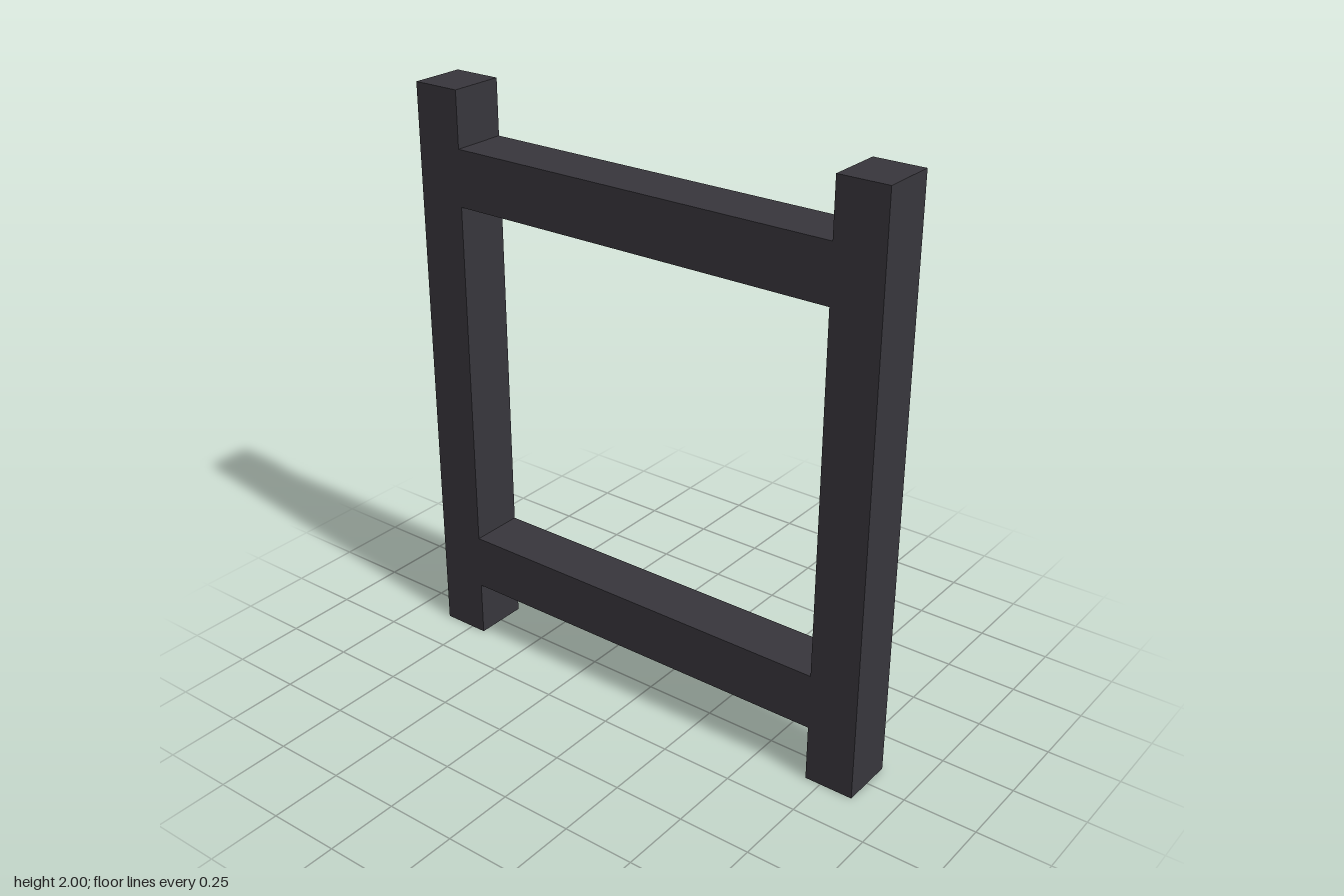
import * as THREE from 'three';

const POST_WIDTH = 0.17;
const DEPTH = 0.19;
const HEIGHT = 2;
const HALF_WIDTH = 0.865;
const RAIL_HEIGHT = 0.193;
const RAIL_CENTRES = { lowerRail: 0.292, upperRail: 1.713 };

export function createModel() {
  const group = new THREE.Group();
  group.name = 'ladderFrame';

  const charcoal = new THREE.MeshStandardMaterial({ color: 0x38363c });
  charcoal.name = 'charcoal';

  const addBar = (name, width, height, x, y) => {
    const bar = new THREE.Mesh(new THREE.BoxGeometry(width, height, DEPTH), charcoal);
    bar.name = name;
    bar.position.set(x, y, 0);
    group.add(bar);
  };

  // Upright posts, mirrored about the centre
  for (const [name, side] of [['leftPost', 1], ['rightPost', -1]]) {
    addBar(name, POST_WIDTH, HEIGHT, side * (HALF_WIDTH - POST_WIDTH / 2), HEIGHT / 2);
  }

  // Cross rails, flush with the posts and spanning between them
  const span = 2 * (HALF_WIDTH - POST_WIDTH);
  for (const [name, y] of Object.entries(RAIL_CENTRES)) {
    addBar(name, span, RAIL_HEIGHT, 0, y);
  }

  return group;
}
